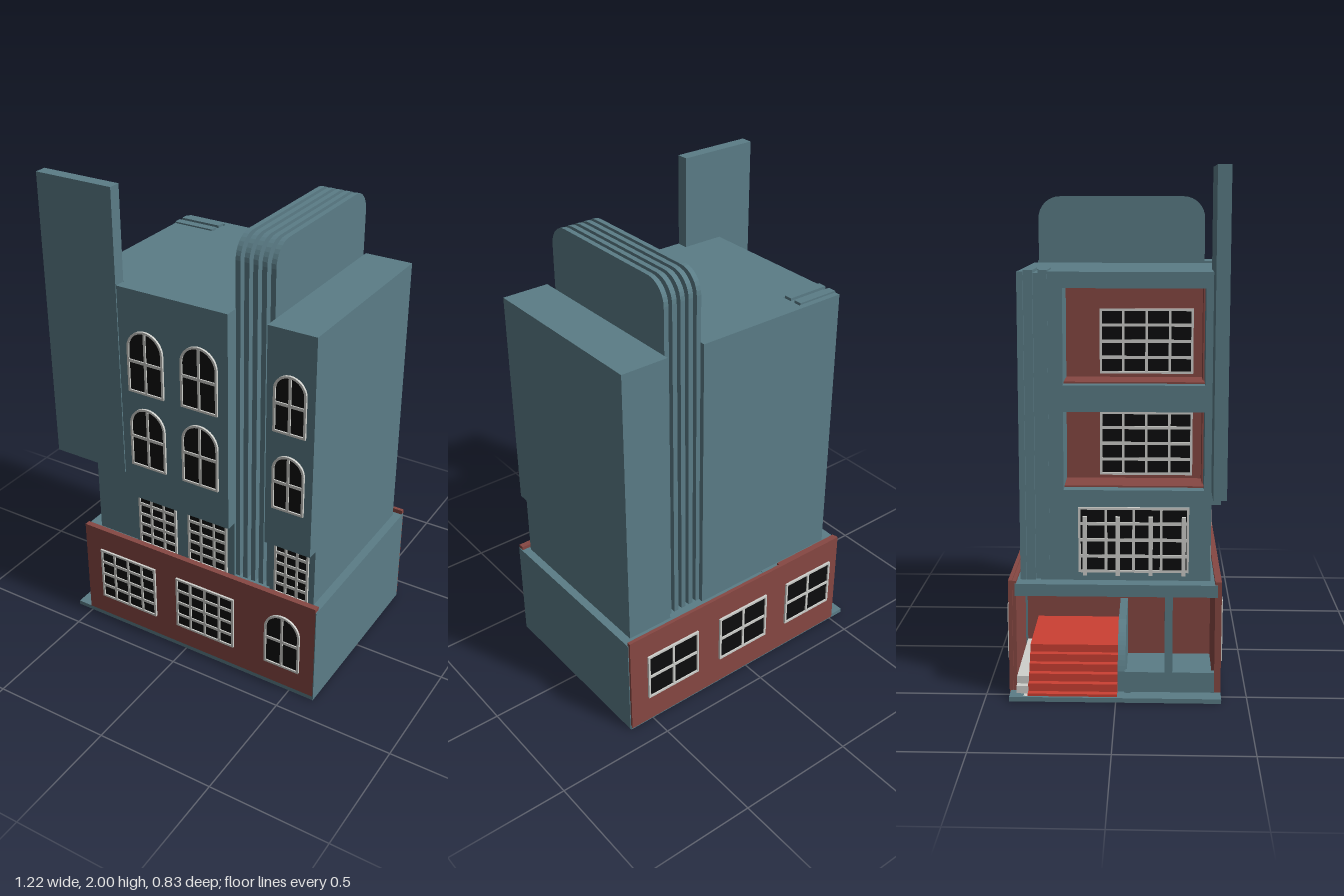
import * as THREE from 'three';

const mat = (name, color) => Object.assign(new THREE.MeshStandardMaterial({ color }), { name });

export function createModel() {
  const root = new THREE.Group();
  root.name = 'building';
  const blue = mat('blue grey plaster', 0x5b7d87);
  const brick = mat('brick red', 0x874843);
  const carpet = mat('bright red', 0xcc4033);
  const black = mat('dark glass', 0x0c0c0d);
  const pale = mat('pale grey trim', 0xcfd0cc);

  const add = (name, geo, m, parent = root) => {
    const mesh = new THREE.Mesh(geo, m);
    mesh.name = name;
    parent.add(mesh);
    return mesh;
  };
  // box from its lower and upper limits
  const block = (name, m, x0, x1, y0, y1, z0, z1, parent = root) => {
    const b = add(name, new THREE.BoxGeometry(x1 - x0, y1 - y0, z1 - z0), m, parent);
    b.position.set((x0 + x1) / 2, (y0 + y1) / 2, (z0 + z1) / 2);
    return b;
  };

  // outline of a window, square or with an arched head
  const outline = (P, w, h, arch) => {
    const s = new P(), r = w / 2;
    s.moveTo(-r, 0);
    s.lineTo(r, 0);
    if (arch) s.lineTo(r, h - r), s.absarc(0, h - r, r, 0, Math.PI, false);
    else s.lineTo(r, h), s.lineTo(-r, h);
    s.closePath();
    return s;
  };

  // window facing +z, its sill centre at the group origin
  const makeWindow = (name, w, h, cols, rows, arch, pos, turn = 0) => {
    const g = new THREE.Group();
    g.name = name;
    const t = 0.009;
    add('glass', new THREE.ShapeGeometry(outline(THREE.Shape, w, h, arch), 10), black, g).position.z = 0.003;
    const frame = outline(THREE.Shape, w, h, arch);
    const hole = outline(THREE.Path, w - 2 * t, h - 2 * t, arch);
    frame.holes.push(new THREE.Path(hole.getPoints(10).map((p) => p.setY(p.y + t))));
    add('frame', new THREE.ExtrudeGeometry(frame, { depth: 0.009, bevelEnabled: false, curveSegments: 10 }), pale, g);
    for (let i = 1; i < cols; i++) {
      const x = -w / 2 + (w * i) / cols;
      block('mullion', pale, x - 0.005, x + 0.005, t, h - t, 0.002, 0.008, g);
    }
    for (let i = 1; i < rows; i++) {
      const y = (h * i) / rows;
      block('glazingBar', pale, -w / 2 + t, w / 2 - t, y - 0.006, y + 0.006, 0.002, 0.008, g);
    }
    g.position.set(...pos);
    g.rotation.y = turn;
    root.add(g);
  };

  // ground storey: plinth, solid part, ceiling over the entrance, brick facings
  block('plinth', blue, -0.57, 0.61, 0.002, 0.02, -0.405, 0.4);
  block('groundStorey', blue, -0.1, 0.61, 0.01, 0.445, -0.39, 0.385);
  block('entranceCeiling', blue, -0.508, -0.1, 0.4, 0.447, -0.385, 0.385);
  block('frontBrickWall', brick, -0.505, 0.609, 0.02, 0.46, 0.375, 0.4);
  block('backBrickWall', brick, -0.505, 0.609, 0.012, 0.46, -0.41, -0.395);
  block('backBrickLining', brick, -0.505, -0.18, 0.02, 0.457, -0.394, -0.38);
  block('entranceBackWall', brick, -0.105, -0.099, 0.02, 0.4, -0.38, 0.375);
  block('sideFacing', blue, 0.609, 0.612, 0.002, 0.445, -0.4, 0.4);

  // entrance: stairs, curb, pillar, low wall, curved balustrade
  for (let i = 0; i < 6; i++) {
    const x = -0.56 + i * 0.025, y0 = i ? 0.01 : 0;
    block('step', carpet, x, -0.11, y0, 0.03 * (i + 1), -0.335, 0.005);
    if (i < 3) block('stairCurb', pale, x, -0.11, y0, 0.02 + 0.03 * i, -0.38, -0.335);
  }
  block('entrancePillar', blue, -0.508, -0.48, 0.02, 0.4, 0.185, 0.215);
  block('lowWall', blue, -0.508, -0.485, 0.02, 0.1, 0.035, 0.375);
  block('newelPost', blue, -0.518, -0.49, 0.02, 0.105, 0.03, 0.055);
  const rail = new THREE.Shape();
  rail.moveTo(-0.505, 0.02);
  rail.lineTo(-0.11, 0.02);
  rail.lineTo(-0.11, 0.26);
  rail.lineTo(-0.36, 0.26);
  rail.quadraticCurveTo(-0.47, 0.23, -0.505, 0.1);
  add('curvedBalustrade', new THREE.ExtrudeGeometry(rail, { depth: 0.03, bevelEnabled: false }), blue).position.z = 0.006;

  // tower body
  block('towerCore', blue, -0.26, 0.217, 0.44, 1.62, -0.368, 0.36);
  block('rightWing', blue, 0.38, 0.578, 0.44, 1.62, -0.368, 0.36);
  block('frontOverhang', blue, -0.27, 0.217, 0.7, 1.62, 0.35, 0.405);
  block('rightOverhang', blue, 0.38, 0.578, 0.7, 1.62, 0.35, 0.405);

  // balcony side: corner, front wall and floor slabs around two open recesses
  block('cornerCore', blue, -0.436, -0.25, 0.44, 1.615, -0.36, -0.2);
  block('cornerBack', blue, -0.45, -0.25, 0.44, 1.62, -0.368, -0.345);
  block('cornerEdge', blue, -0.45, -0.25, 0.44, 1.62, -0.255, -0.2);
  block('balconyFrontWall', blue, -0.45, -0.25, 0.44, 1.62, 0.33, 0.358);
  for (const [y0, y1] of [[0.44, 0.8], [1.1, 1.2], [1.56, 1.62]])
    block('balconySlab', blue, -0.45, -0.25, y0, y1, -0.2, 0.335);
  for (const y of [0.8, 1.2]) {
    const top = y === 0.8 ? 1.1 : 1.56;
    block('balconyBrickPanel', brick, -0.35, -0.26, y, top, 0.324, 0.331);
    block('balconyBrickWall', brick, -0.265, -0.258, y, top, -0.2, 0.33);
    block('balconyFloor', brick, -0.4, -0.26, y, y + 0.006, -0.2, 0.33);
    makeWindow('balconyWindow', 0.36, 0.25, 4, 4, false, [-0.266, y + 0.02, 0.11], -Math.PI / 2);
  }
  for (const z of [-0.343, -0.289]) {
    block('cornerRib', blue, -0.452, -0.43, 0.44, 1.622, z, z + 0.034);
    block('roofRib', blue, -0.45, -0.27, 1.6, 1.626, z, z + 0.034);
  }

  // tall sign slab at the front corner
  block('signSlab', blue, -0.612, -0.272, 0.802, 2, 0.357, 0.407);

  // rounded fins running over the roof
  const finShape = (d, top, r) => {
    const s = new THREE.Shape();
    s.moveTo(-d, 0.44);
    s.lineTo(d, 0.44);
    s.lineTo(d, top - r);
    s.absarc(d - r, top - r, r, 0, Math.PI / 2, false);
    s.absarc(-d + r, top - r, r, Math.PI / 2, Math.PI, false);
    s.closePath();
    return s;
  };
  const fin = (name, x0, x1, d, top, r) => {
    const geo = new THREE.ExtrudeGeometry(finShape(d, top, r), { depth: x1 - x0, bevelEnabled: false, curveSegments: 4 });
    const f = add(name, geo, blue);
    f.rotation.y = -Math.PI / 2;
    f.position.x = x1;
  };
  fin('finCore', 0.217, 0.378, 0.285, 1.83, 0.07);
  for (let i = 0; i < 5; i++) {
    const x = 0.215 + i * 0.036;
    fin('fin', x, x + 0.02, 0.348, 1.895, 0.09);
    if (i < 4) block('finFoot', pale, x + 0.02, x + 0.036, 0.44, 0.487, 0.265, 0.29);
  }

  // front windows
  for (const x of [-0.285, 0.1]) makeWindow('shopWindow', 0.28, 0.245, 4, 4, false, [x, 0.115, 0.4]);
  makeWindow('shopArchWindow', 0.16, 0.255, 2, 2, true, [0.465, 0.115, 0.4]);
  for (const [x, w] of [[-0.148, 0.185], [0.093, 0.185], [0.478, 0.15]])
    makeWindow('middleWindow', w, 0.245, 3, 5, false, [x, 0.445, 0.36]);
  for (const y of [0.86, 1.192]) {
    for (const x of [-0.148, 0.093]) makeWindow('archWindow', 0.163, 0.268, 2, 2, true, [x, y, 0.405]);
    makeWindow('smallArchWindow', 0.135, 0.24, 2, 2, true, [0.478, y + 0.015, 0.405]);
  }

  // back and balcony side windows
  for (const x of [0.4, 0.033, -0.333]) makeWindow('backWindow', 0.255, 0.215, 2, 2, false, [x, 0.135, -0.41], Math.PI);
  makeWindow('sideWindow', 0.42, 0.255, 4, 4, false, [-0.45, 0.48, 0.065], -Math.PI / 2);
  for (let i = 0; i < 4; i++) {
    const z = -0.12 + i * 0.125;
    block('sideWindowPost', pale, -0.468, -0.452, 0.47, 0.7, z - 0.008, z + 0.008);
  }

  return root;
}
